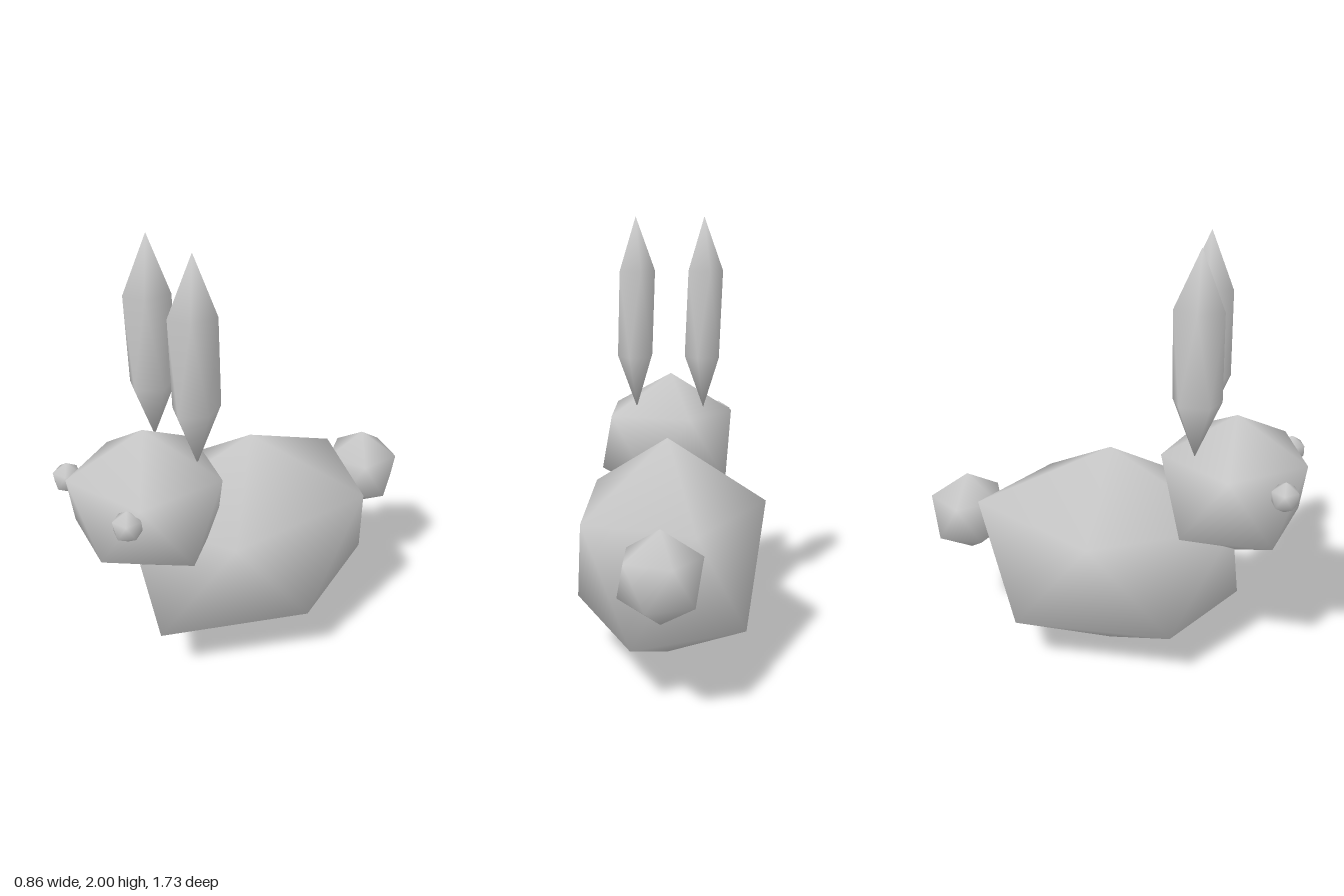
import * as THREE from 'three';

const grey = new THREE.MeshStandardMaterial({ color: 0xcccccc });
grey.name = 'grey';

// Smooth-shaded twenty-sided solid: top, five upper corners, five lower corners, bottom
function solid(name, top, upper, lower, bottom) {
  const points = [top, ...upper, ...lower, bottom];
  const index = [];
  for (let k = 0; k < 5; k++) {
    const n = (k + 1) % 5;
    const u = 1 + k, un = 1 + n, l = 6 + k, ln = 6 + n;
    index.push(0, un, u, u, un, l, un, ln, l, 11, l, ln);
  }
  const geometry = new THREE.BufferGeometry();
  geometry.setAttribute('position', new THREE.Float32BufferAttribute(points.flat(), 3));
  geometry.setIndex(index);
  geometry.computeVertexNormals();
  const mesh = new THREE.Mesh(geometry, grey);
  mesh.name = name;
  return mesh;
}

// Regular version, stretched to the given radii
function blob(name, [x, y, z], [rx, ry, rz]) {
  const ring = (start, h) => [0, 1, 2, 3, 4].map((k) => {
    const a = start + (k * 2 * Math.PI) / 5;
    return [x + rx * 0.8944 * Math.cos(a), y + ry * h, z + rz * 0.8944 * Math.sin(a)];
  });
  return solid(name, [x, y + ry, z], ring(Math.PI, 0.4472),
    ring(Math.PI * 1.2, -0.4472), [x, y - ry, z]);
}

export function createModel() {
  const model = new THREE.Group();
  model.name = 'rabbit';

  // Slightly uneven body and head; rings run left-hand side, back, right-hand side, front
  model.add(solid('body', [0.015, 1.035, -0.01],
    [[-0.43, 0.75, -0.02], [-0.12, 0.76, -0.605], [0.37, 0.745, -0.39], [0.37, 0.745, 0.34], [-0.13, 0.76, 0.57]],
    [[-0.335, 0.27, -0.38], [0.15, 0.27, -0.6], [0.43, 0.285, -0.02], [0.14, 0.27, 0.585], [-0.315, 0.27, 0.33]],
    [0.015, 0.005, -0.01]));
  model.add(solid('head', [0.015, 1.24, 0.55],
    [[-0.285, 1.055, 0.55], [-0.08, 1.065, 0.235], [0.295, 1.06, 0.35], [0.295, 1.06, 0.75], [-0.08, 1.07, 0.867]],
    [[-0.255, 0.75, 0.35], [0.12, 0.76, 0.25], [0.36, 0.755, 0.545], [0.12, 0.765, 0.84], [-0.255, 0.748, 0.75]],
    [0.015, 0.57, 0.55]));

  // Tail
  model.add(blob('tail', [0.022, 0.63, -0.703], [0.193, 0.198, 0.193]));

  // Ears and eyes, one pair each
  for (const [side, s] of [['right', -1], ['left', 1]]) {
    model.add(blob(side + 'Ear', [0.015 + s * 0.16, 1.55, 0.39], [0.1, 0.45, 0.124]));
    model.add(blob(side + 'Eye', [0.015 + s * 0.24, 0.988, 0.785], [0.068, 0.07, 0.067]));
  }
  return model;
}
